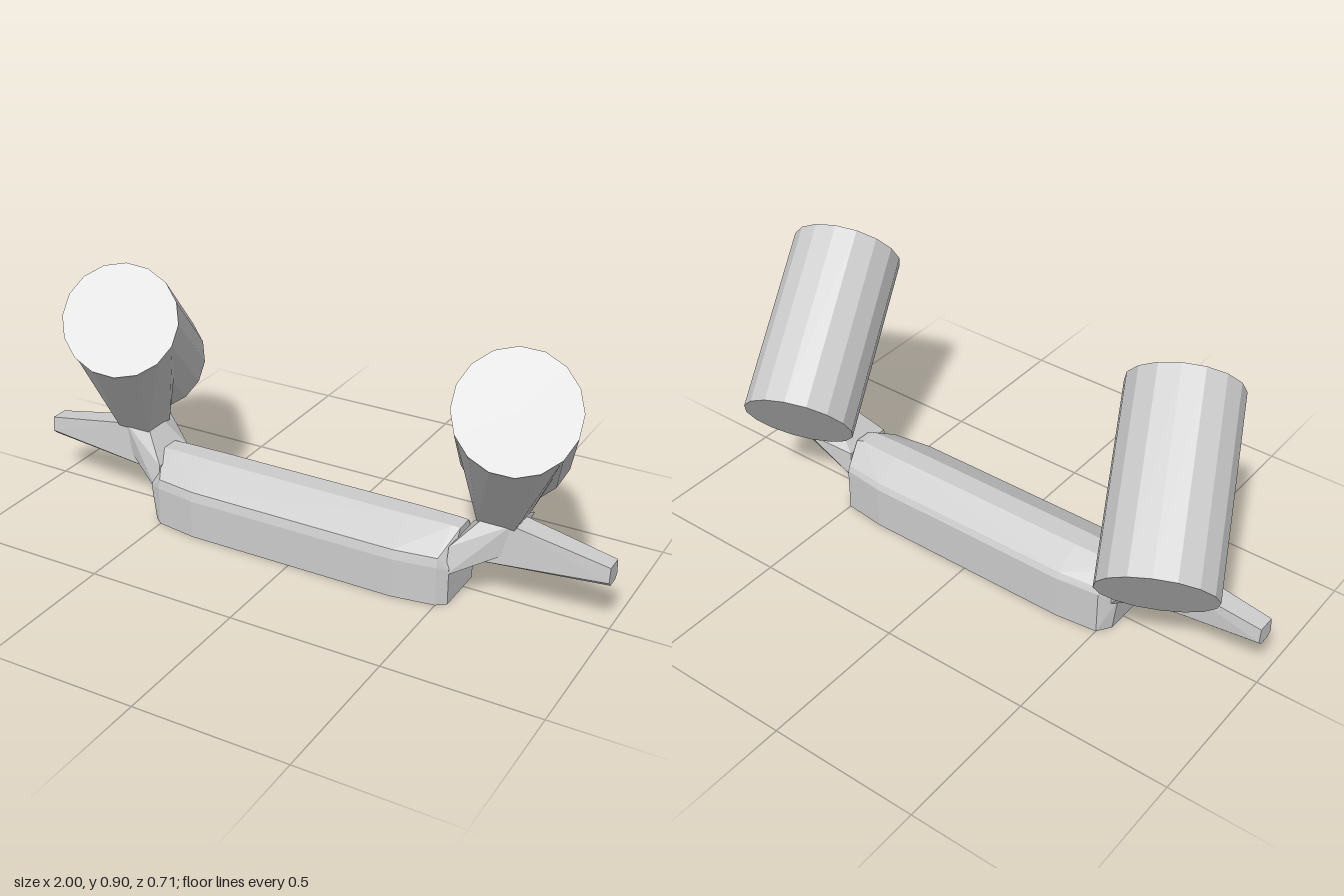
import * as THREE from 'three';
import { ConvexGeometry } from 'three/addons/geometries/ConvexGeometry.js';

const material = new THREE.MeshStandardMaterial({ color: 0xcccccc, flatShading: true });
const v = (x, y, z) => new THREE.Vector3(x, y, z);

function hull(name, points) {
  const mesh = new THREE.Mesh(new ConvexGeometry(points), material);
  mesh.name = name;
  return mesh;
}

// Points of a ring around the axis of a lamp
function ring(center, axis, radius, count) {
  const turn = new THREE.Quaternion().setFromUnitVectors(v(0, 1, 0), axis);
  return Array.from({ length: count }, (_, i) => {
    const a = (i / count) * Math.PI * 2;
    return v(Math.sin(a) * radius, 0, Math.cos(a) * radius).applyQuaternion(turn).add(center);
  });
}

// Tilted drum-shaped lamp with a neck that spreads from the mount to the front rim
function lamp(name, back, front, mountX) {
  const group = new THREE.Group();
  group.name = name;
  const radius = 0.18;
  const axis = front.clone().sub(back);
  const length = axis.length();
  axis.normalize();

  const drum = new THREE.Mesh(new THREE.CylinderGeometry(radius, radius, length, 16), material);
  drum.name = 'lampDrum';
  drum.quaternion.setFromUnitVectors(v(0, 1, 0), axis);
  drum.position.copy(back).lerp(front, 0.5);
  group.add(drum);

  const rimCenter = back.clone().lerp(front, 0.96);
  const lowerRim = ring(rimCenter, axis, radius * 0.985, 16).filter(p => p.y < rimCenter.y + 0.02);
  const neck = [...lowerRim];
  for (const dx of [-0.06, 0.06])
    for (const z of [-0.08, 0.04]) neck.push(v(mountX + dx, 0.265, z));
  group.add(hull('lampNeck', neck));
  return group;
}

// Long bar with a ridged top and chamfered ends
function base() {
  const points = [];
  const section = [[0.16, 0], [0.16, 0.13], [0.152, 0.16], [0.04, 0.225],
    [-0.03, 0.225], [-0.115, 0.17], [-0.125, 0.15], [-0.125, 0]];
  for (const s of [-1, 1]) {
    for (const [z, y] of section) {
      points.push(v(s * 0.36, y, z));
      points.push(v(s * 0.5, y, z * 0.87));
    }
    for (const z of [0.115, -0.065]) {
      points.push(v(s * 0.53, 0, z), v(s * (s < 0 ? 0.545 : 0.53), 0.12, z));
    }
    points.push(v(s * (s < 0 ? 0.555 : 0.525), 0.22, 0.03), v(s * (s < 0 ? 0.555 : 0.525), 0.22, -0.03));
  }
  return hull('baseBar', points);
}

// Bracket rising from the end of the bar and a tapered arm reaching outward
function bracket(s) {
  const group = new THREE.Group();
  group.name = s > 0 ? 'leftBracket' : 'rightBracket';
  const root = 0.52;
  group.add(hull('mount', [
    v(s * root, 0.1, 0.12), v(s * root, 0.1, -0.075),
    v(s * root, 0.19, 0.1), v(s * root, 0.19, -0.07),
    v(s * 0.6, 0.28, 0.04), v(s * 0.6, 0.28, -0.04),
    v(s * 0.69, 0.28, 0.04), v(s * 0.69, 0.28, -0.04),
    v(s * 0.64, 0.26, -0.14), v(s * 0.7, 0.25, -0.12),
    v(s * 0.68, 0.18, 0.04), v(s * 0.68, 0.18, -0.04),
  ]));
  group.add(hull('arm', [
    v(s * 0.56, 0.135, 0.05), v(s * 0.56, 0.135, -0.04),
    v(s * 0.62, 0.28, 0.04), v(s * 0.62, 0.28, -0.04),
    v(s * 0.7, 0.278, 0.04), v(s * 0.7, 0.278, -0.04),
    v(s, 0.228, 0.04), v(s, 0.228, -0.02),
    v(s, 0.18, 0.045), v(s, 0.18, -0.025),
    v(s, 0.165, 0.03), v(s, 0.165, -0.01),
  ]));
  return group;
}

export function createModel() {
  const model = new THREE.Group();
  model.name = 'twinLampBar';
  model.add(base(), bracket(1), bracket(-1));
  // Both lamps lean toward the same side
  model.add(lamp('leftLamp', v(0.58, 0.395, -0.238), v(0.76, 0.748, 0.232), 0.64));
  model.add(lamp('rightLamp', v(-0.77, 0.395, -0.238), v(-0.545, 0.748, 0.232), -0.66));
  return model;
}
